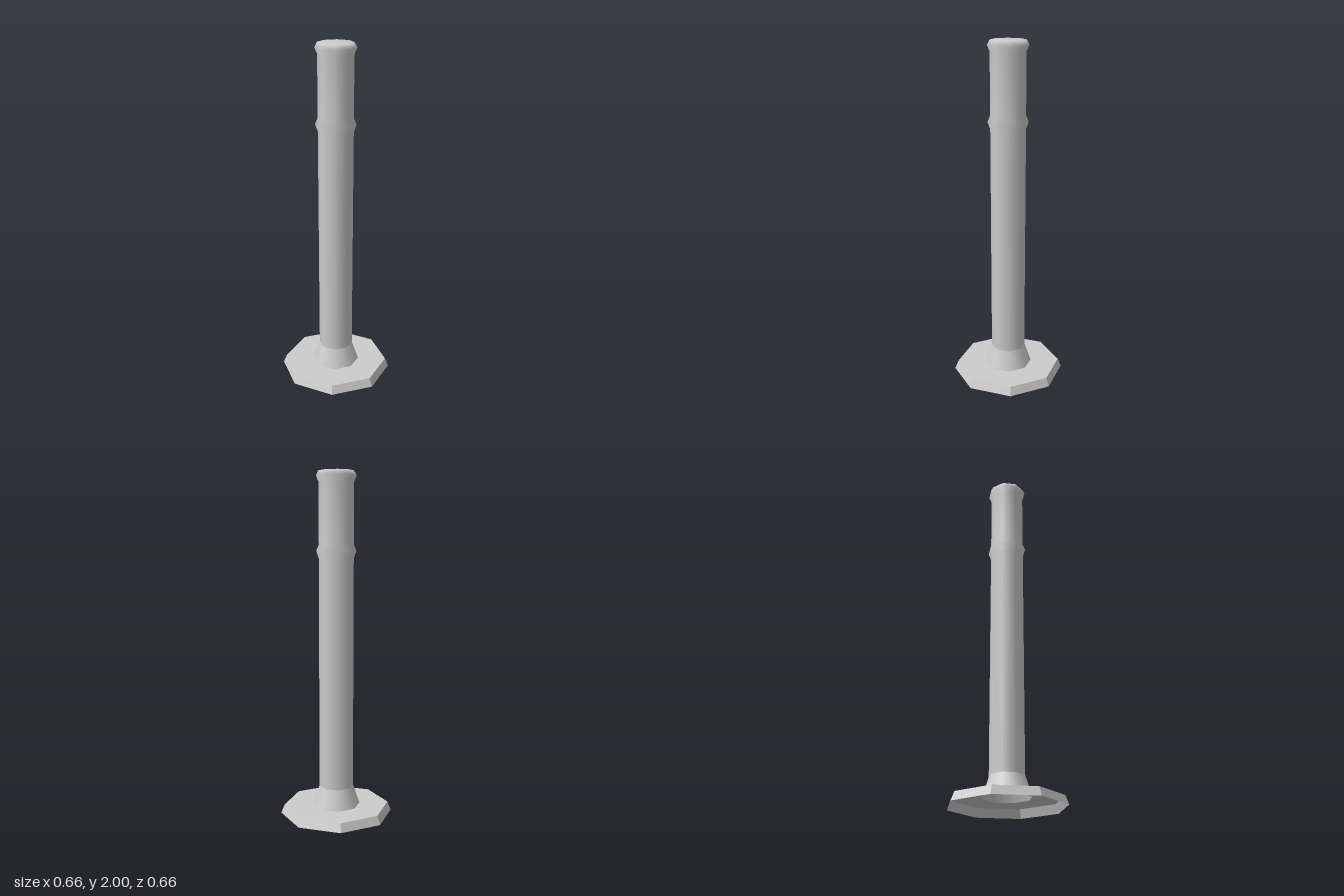
import * as THREE from 'three';

const SIDES = 8;

export function createModel() {
  const model = new THREE.Group();
  model.name = 'post';

  const grey = new THREE.MeshStandardMaterial({ color: 0xcccccc, side: THREE.DoubleSide });
  grey.name = 'grey';

  const add = (name, geometry) => {
    const mesh = new THREE.Mesh(geometry, grey);
    mesh.name = name;
    model.add(mesh);
  };
  // Eight-sided surface turned from [radius, height] points, bottom to top
  const turn = (points) =>
    new THREE.LatheGeometry(points.map(([r, y]) => new THREE.Vector2(r, y)), SIDES);

  // Faceted sloping rim of the foot, open underneath
  const rim = turn([[0.33, 0], [0.31, 0.05]]).toNonIndexed();
  rim.computeVertexNormals();
  add('footRim', rim);

  // Flat foot plate with a hole below the post
  const plate = new THREE.RingGeometry(0.14, 0.31, SIDES);
  plate.rotateX(-Math.PI / 2);
  plate.translate(0, 0.05, 0);
  add('footPlate', plate);

  // Flared collar
  add('collar', turn([[0.14, 0.05], [0.1, 0.165]]));

  // Smooth post with two raised bands and a closed top
  add('shaft', turn([
    [0.1, 0.165], [0.1, 1.51], [0.115, 1.553], [0.1, 1.59],
    [0.1, 1.937], [0.115, 1.972], [0.1, 2], [0, 2],
  ]));

  return model;
}
